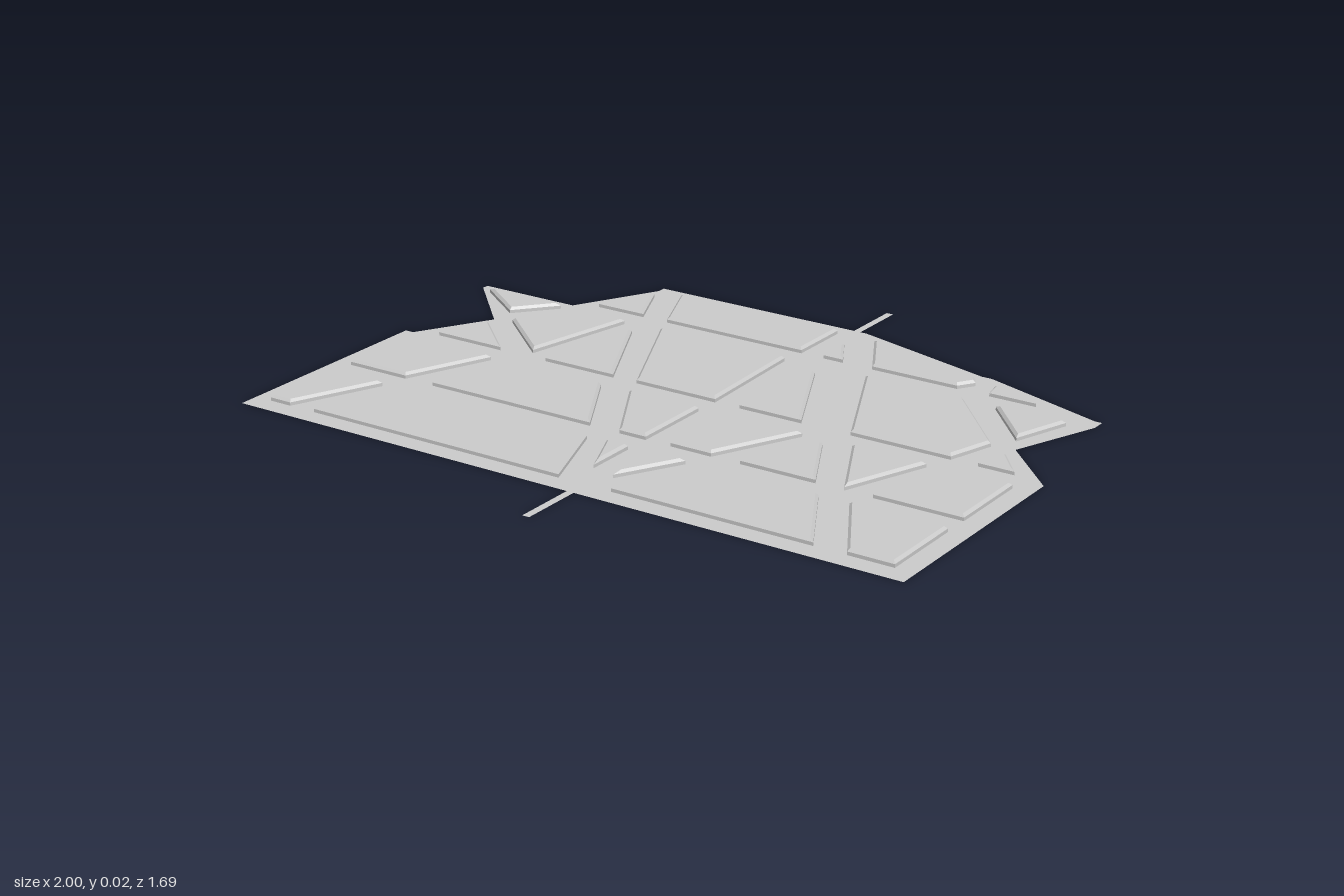
import * as THREE from 'three';

const HEIGHT = 0.016, WALL = 0.009, BEVEL = 0.007;

// Ground outline with the two thin road stubs, as [x, z]
const OUTLINE = [
  [-0.57, -0.675], [0.06, -0.675], [0.06, -0.85], [0.08, -0.85], [0.08, -0.675], [0.1, -0.675],
  [0.52, -0.56], [0.55, -0.56], [0.91, -0.44], [0.93, -0.44], [0.93, -0.4], [0.835, -0.16],
  [1, 0.005], [1, 0.665], [0.095, 0.665], [0.095, 0.84], [0.075, 0.84], [0.075, 0.665],
  [-0.955, 0.665], [-0.955, 0.005], [-0.93, 0.005], [-0.81, -0.2], [-1, -0.395], [-1, -0.415],
  [-0.7, -0.415], [-0.57, -0.65],
];

// City blocks by row, corners clockwise from above
const ROW_1 = [
  [[-0.55, -0.6], [-0.48, -0.445], [-0.63, -0.445]],
  [[-0.48, -0.63], [0.035, -0.63], [0.035, -0.445], [-0.4, -0.445]],
  [[0.105, -0.55], [0.165, -0.445], [0.105, -0.445]],
  [[0.16, -0.615], [0.525, -0.515], [0.54, -0.49], [0.51, -0.445], [0.255, -0.445]],
  [[0.595, -0.495], [0.74, -0.445], [0.605, -0.445]],
];
const ROW_2 = [
  [[-0.96, -0.375], [-0.71, -0.375], [-0.805, -0.265]],
  [[-0.66, -0.37], [-0.49, -0.37], [-0.56, -0.045], [-0.75, -0.205]],
  [[-0.79, -0.15], [-0.645, -0.015], [-0.855, -0.015]],
  [[-0.43, -0.32], [-0.275, -0.015], [-0.495, -0.015]],
  [[-0.37, -0.37], [0.03, -0.37], [0.045, -0.015], [-0.2, -0.015]],
  [[0.105, -0.32], [0.155, -0.32], [0.305, -0.015], [0.12, -0.015]],
  [[0.28, -0.37], [0.57, -0.37], [0.775, -0.145], [0.735, -0.015], [0.45, -0.015]],
  [[0.665, -0.37], [0.865, -0.37], [0.81, -0.21]],
  [[0.84, -0.1], [0.91, -0.015], [0.81, -0.015]],
];

// The two front rows run between straight streets: [top corners x, bottom corners x]
const strip = (z0, z1, list) => list.map(([a, b, c, d]) => [[a, z0], [b, z0], [c, z1], [d, z1]]);
const ROW_3 = [
  ...strip(0.06, 0.295, [
    [-0.905, -0.62, -0.72, -0.905], [-0.53, -0.26, -0.125, -0.63], [-0.17, 0.045, 0.045, -0.035],
    [0.12, 0.355, 0.24, 0.12], [0.78, 0.945, 0.945, 0.7],
  ]),
  [[0.43, 0.085], [0.54, 0.295], [0.325, 0.295]],
  [[0.5, 0.06], [0.71, 0.06], [0.62, 0.295]],
];
const ROW_4 = [
  ...strip(0.37, 0.61, [
    [-0.905, -0.735, -0.84, -0.905], [-0.655, -0.08, 0.01, -0.76],
    [0.295, 0.595, 0.73, 0.165], [0.68, 0.945, 0.945, 0.82],
  ]),
  [[-0.02, 0.37], [0.045, 0.37], [0.045, 0.515]],
  [[0.12, 0.37], [0.215, 0.37], [0.12, 0.54]],
];

const toPoints = (corners) => corners.map(([x, z]) => new THREE.Vector2(x, -z));

// Flat polygon lying at height y, facing up
function flat(corners, y, holes = []) {
  const shape = new THREE.Shape(toPoints(corners));
  shape.holes = holes.map((h) => new THREE.Path(toPoints(h)));
  return new THREE.ShapeGeometry(shape).rotateX(-Math.PI / 2).translate(0, y, 0);
}

// Move every edge of a clockwise polygon inward by t
function inset(corners, t) {
  const n = corners.length;
  const normals = corners.map(([x, z], i) => {
    const [x2, z2] = corners[(i + 1) % n];
    const l = Math.hypot(x2 - x, z2 - z);
    return [-(z2 - z) / l, (x2 - x) / l];
  });
  return corners.map(([x, z], i) => {
    const a = normals[(i + n - 1) % n], b = normals[i];
    const k = t / (1 + a[0] * b[0] + a[1] * b[1]);
    return [x + (a[0] + b[0]) * k, z + (a[1] + b[1]) * k];
  });
}

// Band of quads between consecutive rings of a block
function sides(rings) {
  const pos = [];
  for (let r = 0; r < rings.length - 1; r++) {
    const [lo, hi] = [rings[r], rings[r + 1]];
    lo.corners.forEach((_, i) => {
      const j = (i + 1) % lo.corners.length;
      const at = (ring, k) => [ring.corners[k][0], ring.y, ring.corners[k][1]];
      const a = at(lo, i), b = at(hi, i), c = at(hi, j), d = at(lo, j);
      pos.push(...a, ...b, ...c, ...a, ...c, ...d);
    });
  }
  const geo = new THREE.BufferGeometry();
  geo.setAttribute('position', new THREE.Float32BufferAttribute(pos, 3));
  geo.computeVertexNormals();
  return geo;
}

export function createModel() {
  const model = new THREE.Group();
  model.name = 'cityDistrict';
  const material = new THREE.MeshStandardMaterial({ color: 0xcccccc, side: THREE.DoubleSide });
  const add = (parent, geo, name) => {
    const mesh = new THREE.Mesh(geo, material);
    mesh.name = name;
    parent.add(mesh);
  };

  // Street surface, open beneath the blocks
  const rows = [ROW_1, ROW_2, ROW_3, ROW_4];
  add(model, flat(OUTLINE, 0, rows.flat()), 'streets');

  // Raised blocks with bevelled rims, hollow underneath
  rows.forEach((row, r) => {
    const group = new THREE.Group();
    group.name = `blockRow${r + 1}`;
    row.forEach((corners) => {
      const block = new THREE.Group();
      block.name = 'cityBlock';
      const top = inset(corners, BEVEL);
      add(block, sides([{ corners, y: 0 }, { corners, y: WALL }, { corners: top, y: HEIGHT }]), 'kerb');
      add(block, flat(top, HEIGHT), 'blockTop');
      group.add(block);
    });
    model.add(group);
  });
  return model;
}
